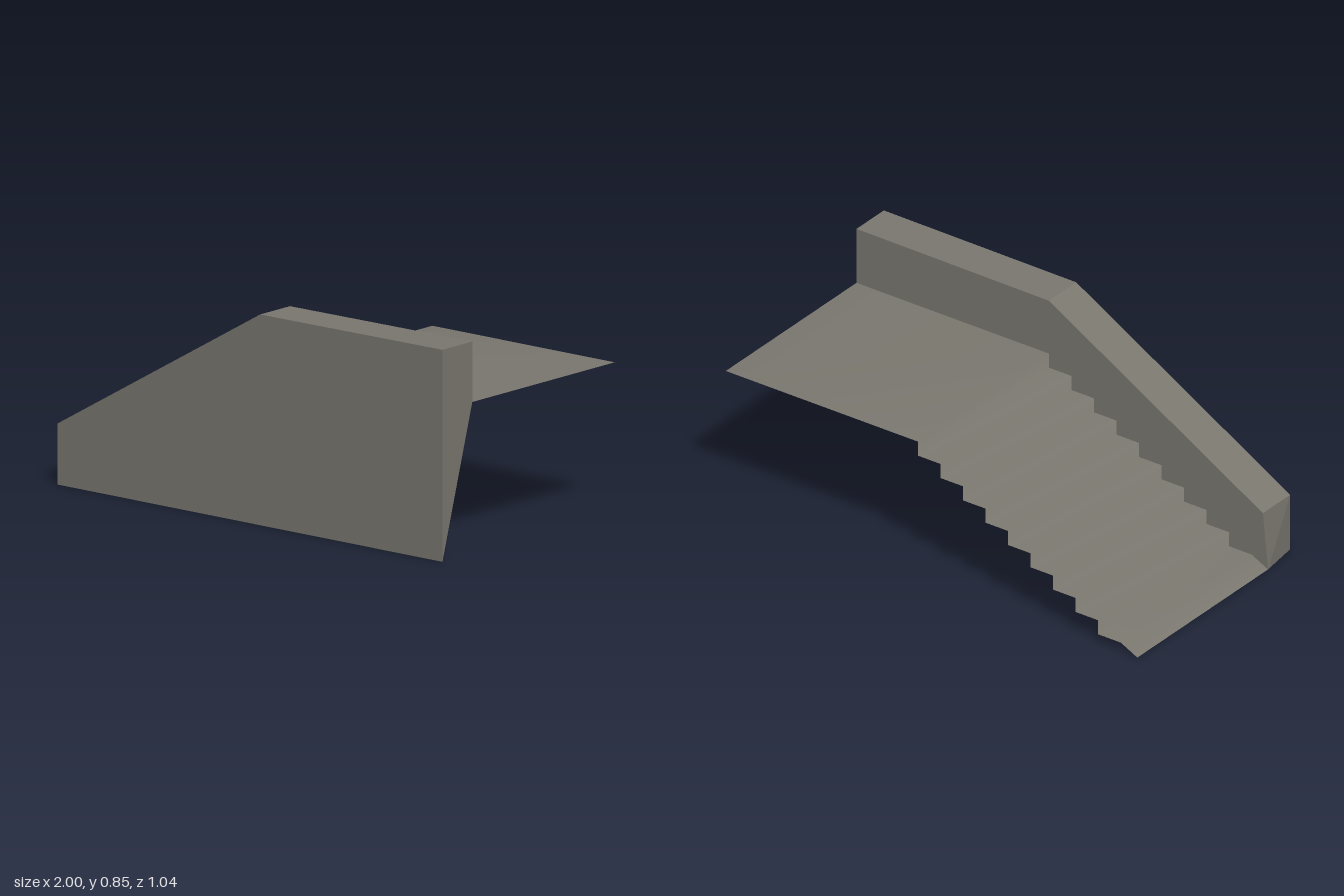
import * as THREE from 'three';

const FRONT = 0.52, INNER = 0.34, BACK = -0.52;

// Sheet spanned between two edges, given as matching lists of [x, y, z]
function strip(edgeA, edgeB) {
  const positions = [], index = [];
  edgeA.forEach((a, i) => positions.push(...a, ...edgeB[i]));
  for (let i = 0; i < edgeA.length - 1; i++) {
    const k = i * 2;
    index.push(k, k + 2, k + 3, k, k + 3, k + 1);
  }
  const geometry = new THREE.BufferGeometry();
  geometry.setAttribute('position', new THREE.Float32BufferAttribute(positions, 3));
  geometry.setIndex(index);
  return geometry;
}

// Upright panel in the xy plane
function panel(points, z) {
  const shape = new THREE.Shape(points.map(([x, y]) => new THREE.Vector2(x, y)));
  return new THREE.ShapeGeometry(shape).translate(0, 0, z);
}

export function createModel() {
  const model = new THREE.Group();
  model.name = 'staircase';
  const stone = new THREE.MeshStandardMaterial({ color: 0x7a776f, side: THREE.DoubleSide });
  stone.name = 'grey stone';

  const add = (name, geometry, smooth = false) => {
    const g = smooth ? geometry : geometry.toNonIndexed();
    g.computeVertexNormals();
    const mesh = new THREE.Mesh(g, stone);
    mesh.name = name;
    model.add(mesh);
  };

  // Stair profile: sloped foot, nine equal risers, long landing
  const steps = 9, run = 0.1094, rise = 0.0633, footX = -0.81, footY = 0.04;
  const profile = [[-1, 0], [-0.92, footY]];
  for (let i = 0; i < steps; i++) {
    const x = footX + i * run;
    profile.push([x, footY + i * rise], [x, footY + (i + 1) * rise]);
  }
  const landingY = footY + steps * rise;
  profile.push([1, landingY]);
  add('stairsAndLanding', strip(
    profile.map(([x, y]) => [x, y, INNER]),
    profile.map(([x, y]) => [x, y, BACK])), true);

  // Side wall: hollow shell, open underneath behind the front panel
  const top = [[-0.975, 0.245], [0.065, 0.848], [1, 0.853]];
  add('wallFront', panel([[-0.975, 0], [1, 0], ...[...top].reverse()], FRONT));
  add('wallBack', panel([...profile, ...[...top].reverse()], INNER));
  add('wallCoping', strip(
    top.map(([x, y]) => [x, y, FRONT]),
    top.map(([x, y]) => [x, y, INNER])));
  add('wallHighEnd', strip(
    [[1, 0, FRONT], [1, landingY, INNER]],
    [[1, 0.853, FRONT], [1, 0.853, INNER]]));
  add('wallLowEnd', strip(
    [[-1, 0, INNER], [-0.975, 0, FRONT]],
    [[-0.975, 0.245, INNER], [-0.975, 0.245, FRONT]]));

  return model;
}
